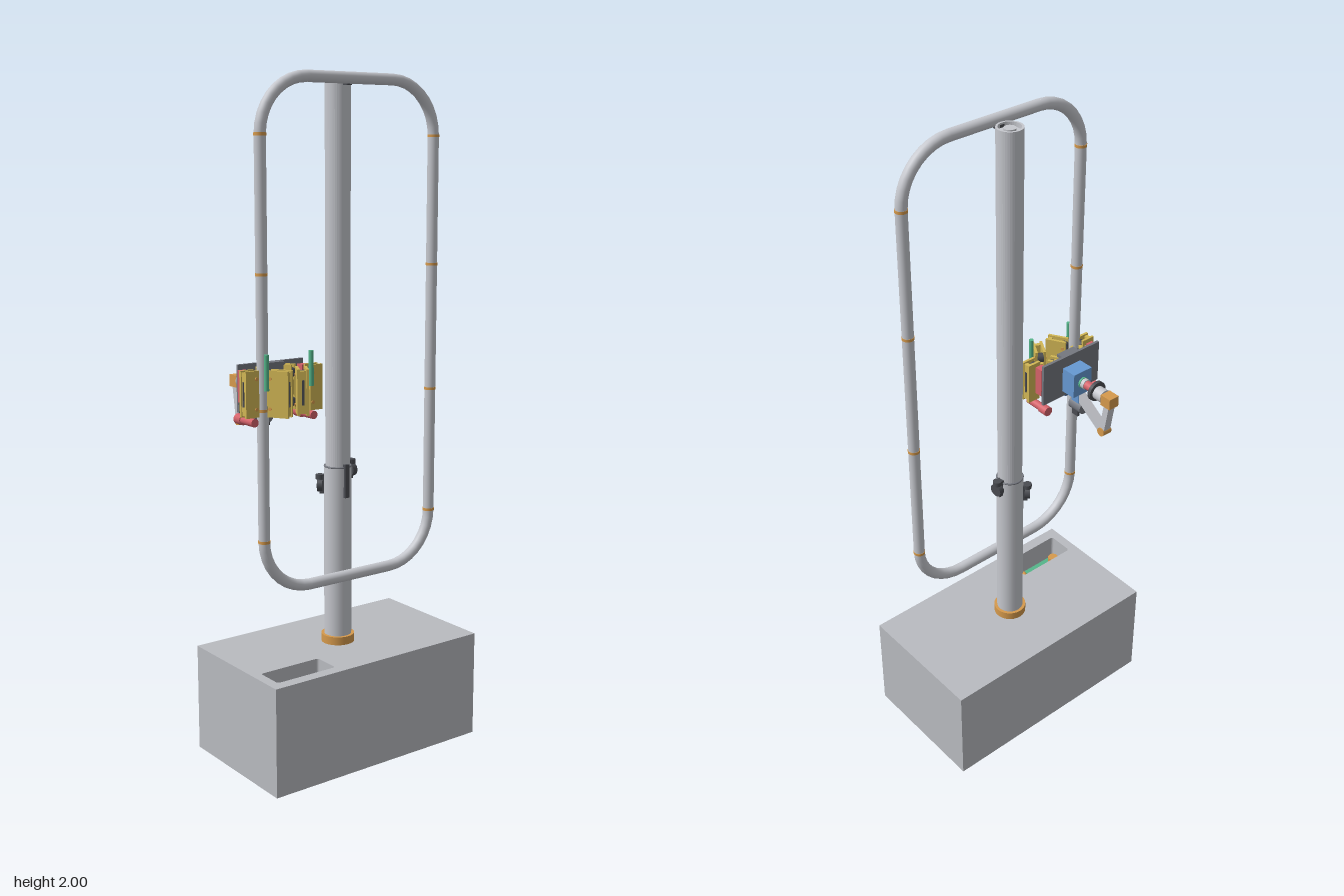
import * as THREE from 'three';

const mat = (name, color) => {
  const m = new THREE.MeshStandardMaterial({ color });
  m.name = name;
  return m;
};

export function createModel() {
  const stone = mat('base grey', 0xb9bbc0), steel = mat('light steel', 0xc6c8ce);
  const dark = mat('dark grey', 0x4a4c52), slate = mat('slate', 0x74777f);
  const copper = mat('copper', 0xd69a4c), yellow = mat('yellow', 0xd2b755);
  const red = mat('red', 0xd4626a), blue = mat('blue', 0x6699d2);
  const green = mat('green', 0x55b58a), navy = mat('navy', 0x42608c);

  const root = new THREE.Group();
  const add = (name, geo, m, x = 0, y = 0, z = 0, parent = root) => {
    const mesh = new THREE.Mesh(geo, m);
    mesh.name = name;
    mesh.position.set(x, y, z);
    parent.add(mesh);
    return mesh;
  };
  // box given by its limits on each axis
  const box = (name, m, x0, x1, y0, y1, z0, z1, parent = root) =>
    add(name, new THREE.BoxGeometry(x1 - x0, y1 - y0, z1 - z0), m,
      (x0 + x1) / 2, (y0 + y1) / 2, (z0 + z1) / 2, parent);
  const cylY = (name, m, r, y0, y1, x, z, parent = root) =>
    add(name, new THREE.CylinderGeometry(r, r, y1 - y0, 28), m, x, (y0 + y1) / 2, z, parent);
  const cylX = (name, m, r, x0, x1, y, z, parent = root) =>
    add(name, new THREE.CylinderGeometry(r, r, x1 - x0, 24).rotateZ(Math.PI / 2), m, (x0 + x1) / 2, y, z, parent);

  // plinth with a rounded recess in its top
  const H = 0.325, floor = 0.235;
  box('plinthLower', stone, -0.21, 0.21, 0, floor, -0.37, 0.37);
  const top = new THREE.Shape([[-0.21, -0.37], [0.21, -0.37], [0.21, 0.37], [-0.21, 0.37]]
    .map(p => new THREE.Vector2(...p)));
  const hole = new THREE.Path();
  const hx0 = 0.09, hx1 = 0.175, hz0 = -0.34, hz1 = -0.14, hr = 0.008;
  hole.absarc(hx0 + hr, hz0 + hr, hr, -Math.PI / 2, -Math.PI, true);
  hole.absarc(hx0 + hr, hz1 - hr, hr, Math.PI, Math.PI / 2, true);
  hole.absarc(hx1 - hr, hz1 - hr, hr, Math.PI / 2, 0, true);
  hole.absarc(hx1 - hr, hz0 + hr, hr, 0, -Math.PI / 2, true);
  top.holes.push(hole);
  add('plinthUpper', new THREE.ExtrudeGeometry(top, { depth: H - floor, bevelEnabled: false, curveSegments: 5 })
    .rotateX(-Math.PI / 2), stone, 0, floor, 0);
  box('recessFloor', green, hx0, hx1, floor, floor + 0.006, 0.14, 0.34);
  // fittings inside the recess
  cylY('recessPost', copper, 0.017, floor, 0.285, 0.13, 0.305);
  add('recessRing', new THREE.TorusGeometry(0.015, 0.003, 8, 28).rotateX(Math.PI / 2), copper, 0.13, floor + 0.01, 0.24);
  const hook = add('recessHook', new THREE.TorusGeometry(0.018, 0.008, 10, 20, Math.PI), copper, 0.13, floor + 0.025, 0.175);
  hook.rotation.y = -0.5;

  // mast
  cylY('mastCollar', copper, 0.05, H, 0.35, 0, 0);
  cylY('mastSleeve', steel, 0.041, H, 0.87, 0, 0);
  const mast = [[0.037, 0.86], [0.037, 1.985], [0.031, 1.985], [0.031, 1.972], [0.017, 1.972], [0.017, 1.982], [0, 1.982]]
    .map(p => new THREE.Vector2(...p));
  const prof = [];
  mast.forEach(p => prof.push(p, p.clone())); // doubled points keep the rims crisp
  const mastGeo = new THREE.LatheGeometry(prof, 36).toNonIndexed();
  mastGeo.computeVertexNormals();
  add('mast', mastGeo, steel);
  add('sleeveSeam', new THREE.TorusGeometry(0.039, 0.003, 8, 36).rotateX(Math.PI / 2), slate, 0, 0.87, 0);

  // clamping knobs on the sleeve
  for (const [x, y, z] of [[-0.035, 0.81, 0.04], [-0.005, 0.85, -0.053]]) {
    const g = new THREE.Group();
    g.name = 'clampKnob';
    g.position.set(x, y, z);
    g.rotation.y = Math.atan2(x, z);
    root.add(g);
    add('knobDisc', new THREE.CylinderGeometry(0.02, 0.02, 0.016, 20).rotateX(Math.PI / 2), dark, 0, 0, 0, g);
    box('knobStem', dark, -0.01, 0.01, -0.025, 0.03, -0.02, 0, g);
    cylY('knobHead', dark, 0.013, 0.018, 0.032, 0, 0, g);
  }

  // closed rail loop: straights plus segmented corner bends
  const RX = 0.06, RZ = 0.304, Y0 = 0.547, Y1 = 1.983, R = 0.155, r = 0.0165;
  for (const s of [-1, 1]) {
    cylY('railUpright', steel, r, Y0 + R, Y1 - R, RX, s * RZ);
    for (const y of [0.702, 1.08, 1.455, 1.828]) cylY('railJoint', copper, r + 0.001, y - 0.004, y + 0.004, RX, s * RZ);
  }
  for (const [y, a] of [[Y0, Math.PI], [Y1, 0]]) {
    add('railCrossbar', new THREE.CylinderGeometry(r, r, 2 * (RZ - R), 24).rotateX(Math.PI / 2), steel, RX, y, 0);
    for (const s of [-1, 1]) {
      const cy = y === Y0 ? Y0 + R : Y1 - R;
      const start = a === 0 ? (s > 0 ? Math.PI / 2 : 0) : (s > 0 ? Math.PI : Math.PI * 1.5);
      const bend = new THREE.TorusGeometry(R, r, 20, 9, Math.PI / 2).rotateZ(start).rotateY(Math.PI / 2);
      add('railBend', bend, steel, RX, cy, s * (RZ - R));
    }
  }
  // brackets from mast to rail
  for (const y of [0.547, 1.972]) box('railBracket', dark, 0.03, 0.056, y - 0.008, y + 0.008, -0.008, 0.008);
  box('sleeveLatch', dark, 0.03, 0.048, 0.78, 0.88, -0.008, 0.008);

  // trolley: two three-jaw roller clamps on a carrier plate
  const trolley = new THREE.Group();
  trolley.name = 'trolley';
  root.add(trolley);
  const jaw = (cz, angle, reach) => {
    const g = new THREE.Group();
    g.name = 'rollerJaw';
    g.position.set(RX, 1.13, cz);
    g.rotation.y = angle;
    trolley.add(g);
    for (const s of [-1, 1]) {
      box('jawCheek', yellow, s * 0.0125 - 0.004, s * 0.0125 + 0.004, -0.065, 0.065, 0.022, reach, g);
      cylX('jawRoller', dark, 0.014, -0.009, 0.009, s * 0.042, 0.031, g);
      cylX('rollerAxle', copper, 0.005, -0.019, 0.019, s * 0.042, 0.031, g);
    }
    box('jawBack', yellow, -0.009, 0.009, -0.06, 0.06, reach - 0.015, reach - 0.003, g);
    box('jawSlot', dark, -0.003, 0.003, -0.035, 0.035, reach - 0.004, reach - 0.001, g);
    box('jawBlock', yellow, -0.01, 0.01, -0.022, 0.022, 0.024, reach - 0.01, g);
  };
  const T = Math.PI * 2 / 3;
  for (const s of [-1, 1]) {
    const cz = 0.24 + s * 0.064;
    [[0, 0.065], [T, 0.085], [-T, 0.052]].forEach(([a, reach]) => jaw(cz, s > 0 ? a : Math.PI - a, reach));
    cylY('lockPin', green, 0.007, 1.14, 1.24, 0.097, 0.24 + s * 0.075, trolley);
    const mz = 0.24 + s * 0.1;
    cylX('driveMotor', red, 0.015, -0.012, 0.018, 1.05, mz, trolley);
    cylX('motorNeck', red, 0.012, 0.018, 0.075, 1.05, mz, trolley);
    box('motorBlock', red, 0.008, 0.034, 1.1, 1.19, mz - 0.012, mz + 0.012, trolley);
  }
  box('carrierPlate', slate, 0, 0.009, 1.07, 1.205, 0.13, 0.35, trolley);
  box('carrierCore', slate, 0.009, 0.03, 1.07, 1.205, 0.208, 0.272, trolley);
  box('carrierLug', navy, 0.01, 0.035, 1.055, 1.075, 0.228, 0.252, trolley);

  // folding arm on the back of the carrier
  const arm = new THREE.Group();
  arm.name = 'arm';
  root.add(arm);
  const Z = 0.24;
  box('armHousing', blue, -0.05, 0, 1.09, 1.17, 0.205, 0.275, arm);
  cylX('armSeal', green, 0.018, -0.056, -0.05, 1.132, Z, arm);
  cylX('armShoulder', steel, 0.016, -0.068, -0.056, 1.132, Z, arm);
  cylX('armMotor', red, 0.0135, -0.104, -0.068, 1.132, Z, arm);
  cylX('armFlange', dark, 0.031, -0.115, -0.104, 1.132, Z, arm);
  cylX('armDrum', steel, 0.021, -0.146, -0.115, 1.13, Z, arm);
  box('armElbow', copper, -0.184, -0.146, 1.11, 1.145, 0.222, 0.258, arm);
  const link = (x0, y0, x1, y1) => {
    const m = add('armLink', new THREE.BoxGeometry(Math.hypot(x1 - x0, y1 - y0), 0.02, 0.026), steel,
      (x0 + x1) / 2, (y0 + y1) / 2, Z, arm);
    m.rotation.z = Math.atan2(y1 - y0, x1 - x0);
  };
  link(-0.168, 1.125, -0.15, 1.01);
  link(-0.15, 1.01, -0.04, 1.085);
  add('armJoint', new THREE.CylinderGeometry(0.014, 0.014, 0.032, 20).rotateX(Math.PI / 2), copper, -0.15, 1.012, Z, arm);
  // gripper at the end of the arm
  box('gripperWrist', blue, -0.05, -0.02, 1.06, 1.095, 0.226, 0.254, arm);
  cylX('gripperBody', slate, 0.02, -0.062, -0.012, 1.045, Z, arm);
  for (const s of [-1, 1]) box('gripperFinger', dark, -0.05, -0.025, 1.015, 1.04, Z + s * 0.012 - 0.004, Z + s * 0.012 + 0.004, arm);

  return root;
}
